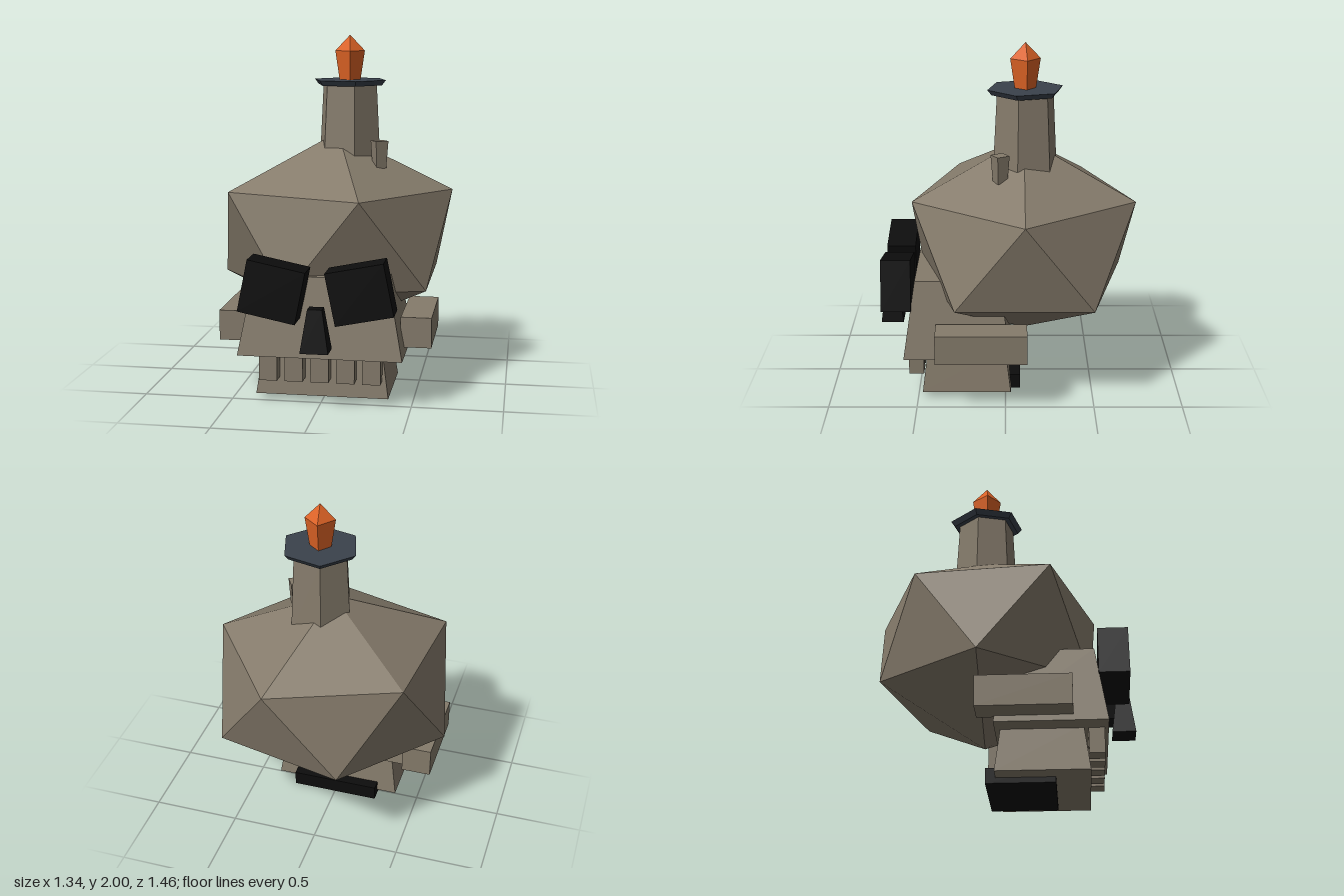
import * as THREE from 'three';

const mat = (name, color) => {
  const m = new THREE.MeshStandardMaterial({ color, flatShading: true });
  m.name = name;
  return m;
};

// Box whose top face is resized to topW x topD
function taperedBox(w, h, d, topW, topD) {
  const g = new THREE.BoxGeometry(w, h, d);
  const p = g.attributes.position;
  for (let i = 0; i < p.count; i++) {
    if (p.getY(i) > 0) {
      p.setX(i, p.getX(i) * topW / w);
      p.setZ(i, p.getZ(i) * topD / d);
    }
  }
  g.computeVertexNormals();
  return g;
}

// Irregular twenty-sided cranium: two poles and two staggered rings of five
function craniumGeometry() {
  const top = [0, 1.44, -0.105], bottom = [0, 0.28, -0.105];
  const upper = [[0.67, 1.12, -0.105], [0.21, 1.125, 0.525], [-0.565, 1.13, 0.285],
    [-0.5, 1.13, -0.46], [0.21, 1.125, -0.73]];
  const lower = [[0.555, 0.6, 0.28], [-0.2, 0.6, 0.49], [-0.67, 0.6, -0.105],
    [-0.19, 0.62, -0.68], [0.555, 0.6, -0.49]];
  const tris = [];
  for (let i = 0; i < 5; i++) {
    const j = (i + 1) % 5;
    tris.push(top, upper[j], upper[i]);
    tris.push(upper[i], upper[j], lower[i]);
    tris.push(lower[j], lower[i], upper[j]);
    tris.push(bottom, lower[i], lower[j]);
  }
  const g = new THREE.BufferGeometry();
  g.setAttribute('position', new THREE.Float32BufferAttribute(tris.flat(), 3));
  g.computeVertexNormals();
  return g;
}

export function createModel() {
  const group = new THREE.Group();
  group.name = 'skullCandle';
  const bone = mat('bone', 0x857b6b);
  const black = mat('socketBlack', 0x0d0d0d);
  const slate = mat('slate', 0x3a424c);
  const flame = mat('flameOrange', 0xdc6225);

  const add = (name, geometry, material, x, y, z) => {
    const m = new THREE.Mesh(geometry, material);
    m.name = name;
    m.position.set(x, y, z);
    group.add(m);
    return m;
  };

  // Skull
  add('cranium', craniumGeometry(), bone, 0, 0, 0);
  add('face', taperedBox(0.91, 0.44, 0.605, 0.74, 0.475), bone, 0, 0.49, 0.272);
  add('jaw', taperedBox(0.74, 0.26, 0.505, 0.665, 0.44), bone, 0, 0.16, 0.222);
  add('jawBase', new THREE.BoxGeometry(0.51, 0.085, 0.375), black, 0, 0.0425, 0.1025);
  for (let i = -2; i <= 2; i++) {
    add('tooth', new THREE.BoxGeometry(0.1, 0.17, 0.085), bone, i * 0.143, 0.215, 0.51);
  }

  // Cheekbones and eye sockets, mirrored
  for (const side of [-1, 1]) {
    add(side > 0 ? 'leftCheekbone' : 'rightCheekbone',
      new THREE.BoxGeometry(0.17, 0.17, 0.51), bone, side * 0.512, 0.39, 0.135);
    const eye = add(side > 0 ? 'leftEyeSocket' : 'rightEyeSocket',
      new THREE.BoxGeometry(0.32, 0.29, 0.167), black, side * 0.237, 0.66, 0.613);
    eye.rotation.z = side * 0.2;
  }
  add('noseSocket', taperedBox(0.154, 0.235, 0.13, 0.08, 0.07), black, 0, 0.4575, 0.665);

  // Candle on the crown
  const cx = 0.07, cz = -0.11;
  const candle = add('candle', new THREE.CylinderGeometry(0.165, 0.19, 0.47, 6), bone, cx, 1.485, cz);
  candle.rotation.y = 0.29;
  const plate = add('candlePlate', new THREE.CylinderGeometry(0.22, 0.196, 0.03, 6), slate, cx, 1.73, cz);
  plate.rotation.y = 0.29;
  const drip = add('waxDrip', new THREE.CylinderGeometry(0.054, 0.042, 0.155, 4), bone, 0.26, 1.33, 0.03);
  drip.rotation.y = -0.24;

  // Four-sided flame
  const body = add('flameBody', new THREE.CylinderGeometry(0.085, 0.06, 0.167, 4, 1, true), flame, cx, 1.8265, cz);
  const tip = add('flameTip', new THREE.ConeGeometry(0.085, 0.09, 4, 1, true), flame, cx, 1.955, cz);
  body.rotation.y = tip.rotation.y = 0.12;

  return group;
}
